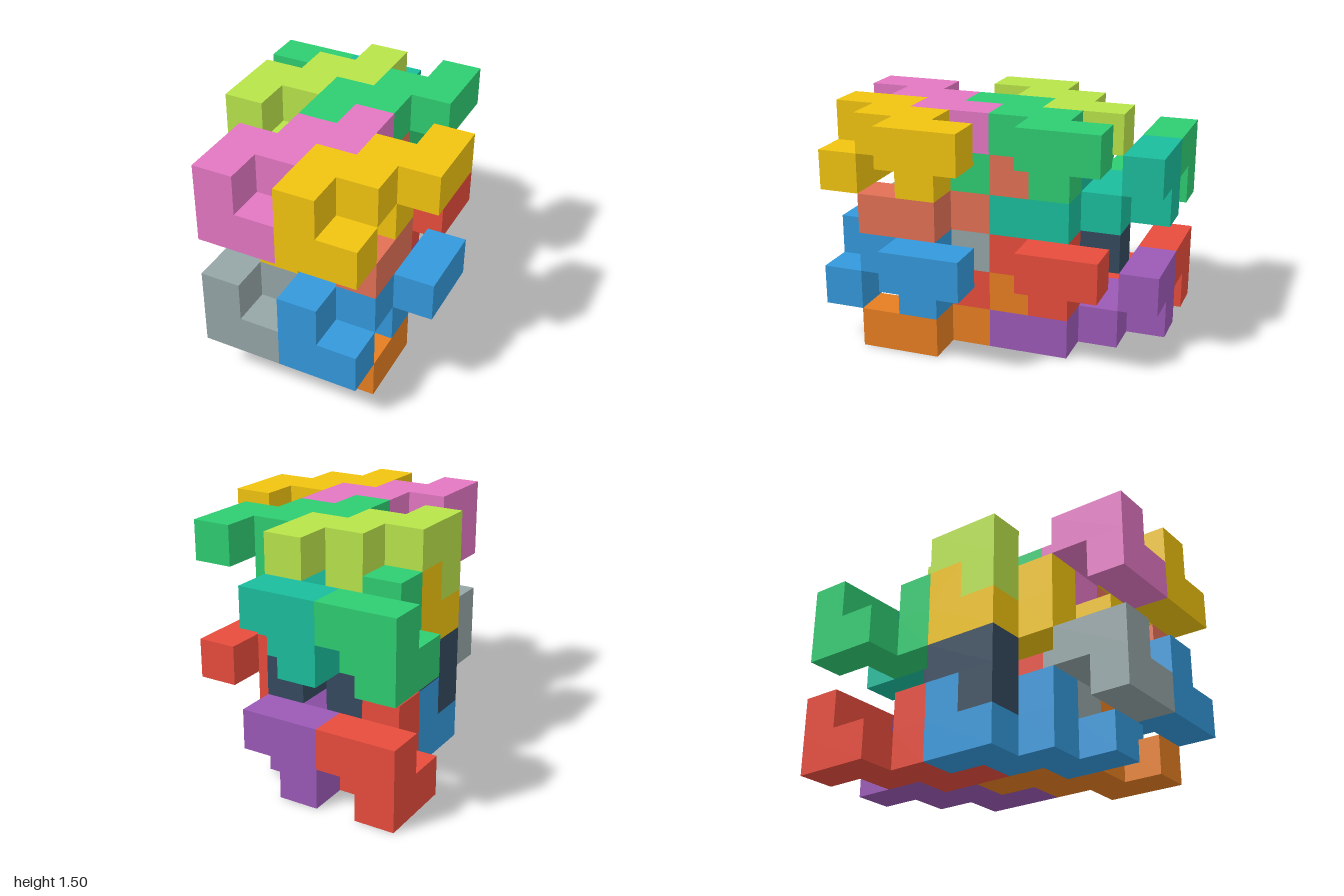
import * as THREE from 'three';

const U = 0.25; // edge of one cube cell

// Stepped bar outline in cells: [across, away from the hooked end]
const STEPS = [[0, 0], [1, 0], [1, 1], [2, 1], [2, 2], [3, 2], [3, 4], [2, 4], [2, 3], [1, 3], [1, 2], [0, 2]];

// One interlocking piece: a stepped bar with a two-cell hook and a one-cell peg.
// dir is the z direction in which the bar runs away from its hook.
function makePiece(name, color, x, z, y, dir) {
  const material = new THREE.MeshStandardMaterial({ color });
  const piece = new THREE.Group();
  piece.name = name;
  const add = (part, geometry) => {
    const mesh = new THREE.Mesh(geometry, material);
    mesh.name = part;
    piece.add(mesh);
    return mesh;
  };
  // Hanging pieces (dir -1) have the bar on top; standing ones have it below
  const barTop = dir < 0 ? 3 * U : U;
  const shape = new THREE.Shape(STEPS.map(([a, n]) => new THREE.Vector2(a * U, dir * n * U)));
  const bar = new THREE.ExtrudeGeometry(shape, { depth: U, bevelEnabled: false });
  add('steppedBar', bar.rotateX(Math.PI / 2)).position.y = barTop;
  add('hook', new THREE.BoxGeometry(2 * U, U, U)).position.set(U, 1.5 * U, dir * 0.5 * U);
  add('peg', new THREE.BoxGeometry(U, U, U)).position.set(1.5 * U, 1.5 * U, dir * 2.5 * U);
  piece.position.set(x, y, z);
  return piece;
}

// Start corner x, z, run direction, and colour in the lower and upper tier
const PIECES = [
  ['backLeftStanding', -0.375, -1, 1, 0x9b59b6, 0x1abc9c],
  ['backRightStanding', -0.875, -1, 1, 0xe74c3c, 0x2ecc71],
  ['frontLeftStanding', -0.125, -0.25, 1, 0xe67e22, 0xe17055],
  ['frontRightStanding', -0.625, -0.25, 1, 0x3498db, 0xf1c40f],
  ['backLeftHanging', -0.125, 0.25, -1, 0xe74c3c, 0x2ecc71],
  ['backRightHanging', -0.625, 0.25, -1, 0x34495e, 0xb8e34a],
  ['frontLeftHanging', 0.125, 1, -1, 0x3498db, 0xf1c40f],
  ['frontRightHanging', -0.375, 1, -1, 0x95a5a6, 0xe377c2],
];

export function createModel() {
  const model = new THREE.Group();
  model.name = 'interlockingBlocks';
  // Two identical tiers, stacked
  ['lowerTier', 'upperTier'].forEach((tierName, t) => {
    const tier = new THREE.Group();
    tier.name = tierName;
    for (const [name, x, z, dir, ...colors] of PIECES) {
      tier.add(makePiece(name + 'Piece', colors[t], x, z, t * 3 * U, dir));
    }
    model.add(tier);
  });
  return model;
}
